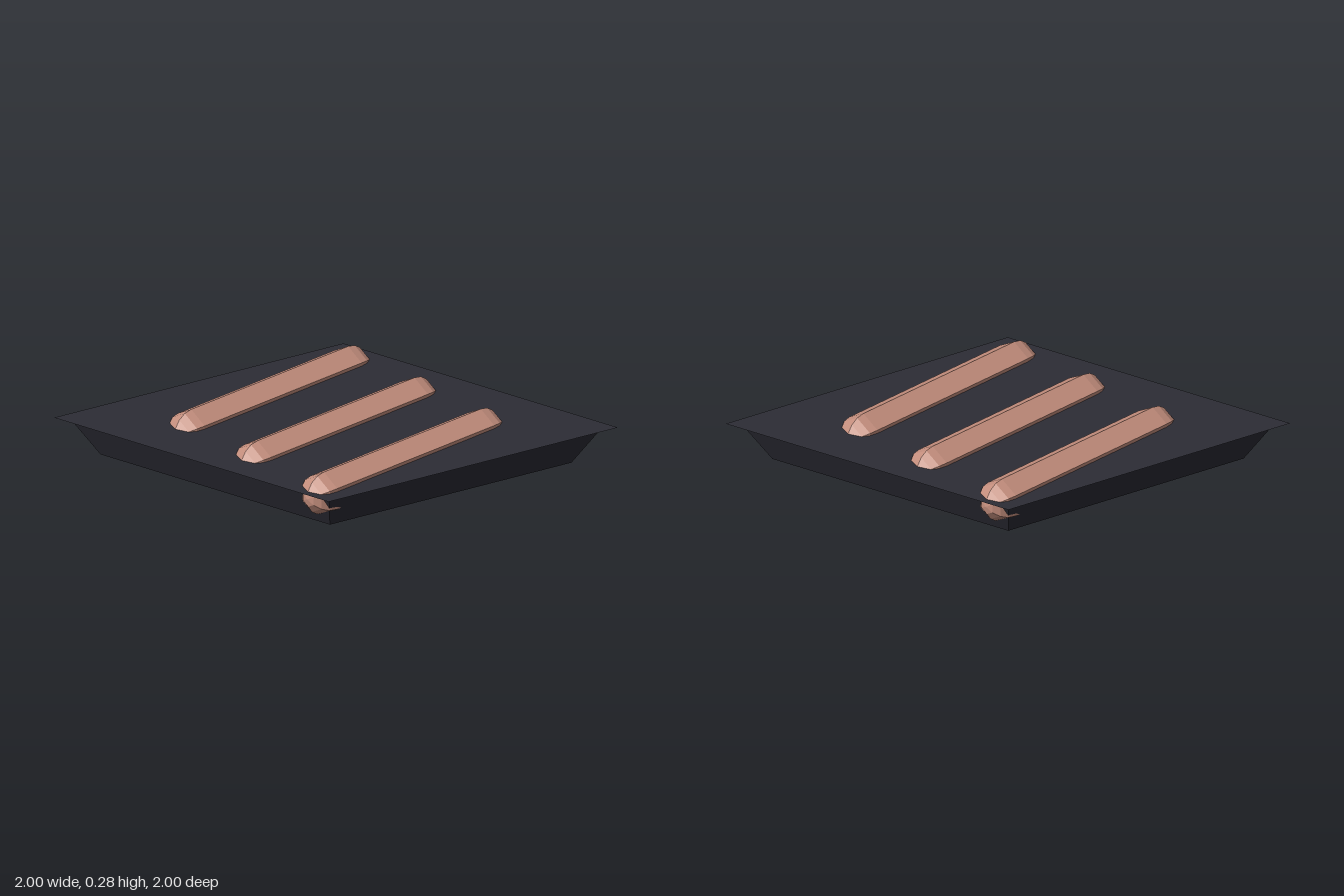
import * as THREE from 'three';

const trayDark = new THREE.MeshStandardMaterial({ color: 0x2c2c35, flatShading: true });
trayDark.name = 'charcoal tray';
const sausagePink = new THREE.MeshStandardMaterial({ color: 0xc58f7e, flatShading: true });
sausagePink.name = 'sausage pink';

// Diamond outline, counter-clockwise seen from above
const corners = [[1, -1], [-0.645, -0.645], [-1, 1], [0.645, 0.645]];
// Levels of the tray: height and outline scale (base, under the lip, lip edge)
const levels = [[0, 0.835], [0.185, 0.937], [0.2, 1]];

function trayGeometry() {
  const rings = levels.map(([y, s]) => corners.map(([x, z]) => [x * s, y, z * s]));
  const pos = [];
  const quad = (a, b, c, d) => pos.push(...a, ...b, ...c, ...a, ...c, ...d);
  for (let k = 0; k < rings.length - 1; k++) {
    for (let i = 0; i < 4; i++) {
      const j = (i + 1) % 4;
      quad(rings[k][i], rings[k][j], rings[k + 1][j], rings[k + 1][i]);
    }
  }
  // Flat top, split along the short diagonal, and flat base
  const top = rings[rings.length - 1];
  quad(top[1], top[2], top[3], top[0]);
  quad(...[...rings[0]].reverse());
  const g = new THREE.BufferGeometry();
  g.setAttribute('position', new THREE.Float32BufferAttribute(pos, 3));
  g.computeVertexNormals();
  return g;
}

export function createModel() {
  const model = new THREE.Group();
  model.name = 'sausageTray';

  const tray = new THREE.Mesh(trayGeometry(), trayDark);
  tray.name = 'tray';
  model.add(tray);

  // Six-sided sausages lying along z, sunk halfway into the tray, one ridge up
  const r = 0.115;
  const sausage = new THREE.CapsuleGeometry(r, 1.3 - 2 * r, 4, 6);
  sausage.rotateY(Math.PI / 2);
  sausage.rotateX(Math.PI / 2);
  ['right', 'middle', 'left'].forEach((side, i) => {
    const mesh = new THREE.Mesh(sausage, sausagePink);
    mesh.name = side + 'Sausage';
    mesh.position.set((i - 1) * 0.49, 0.16, 0);
    model.add(mesh);
  });

  return model;
}
